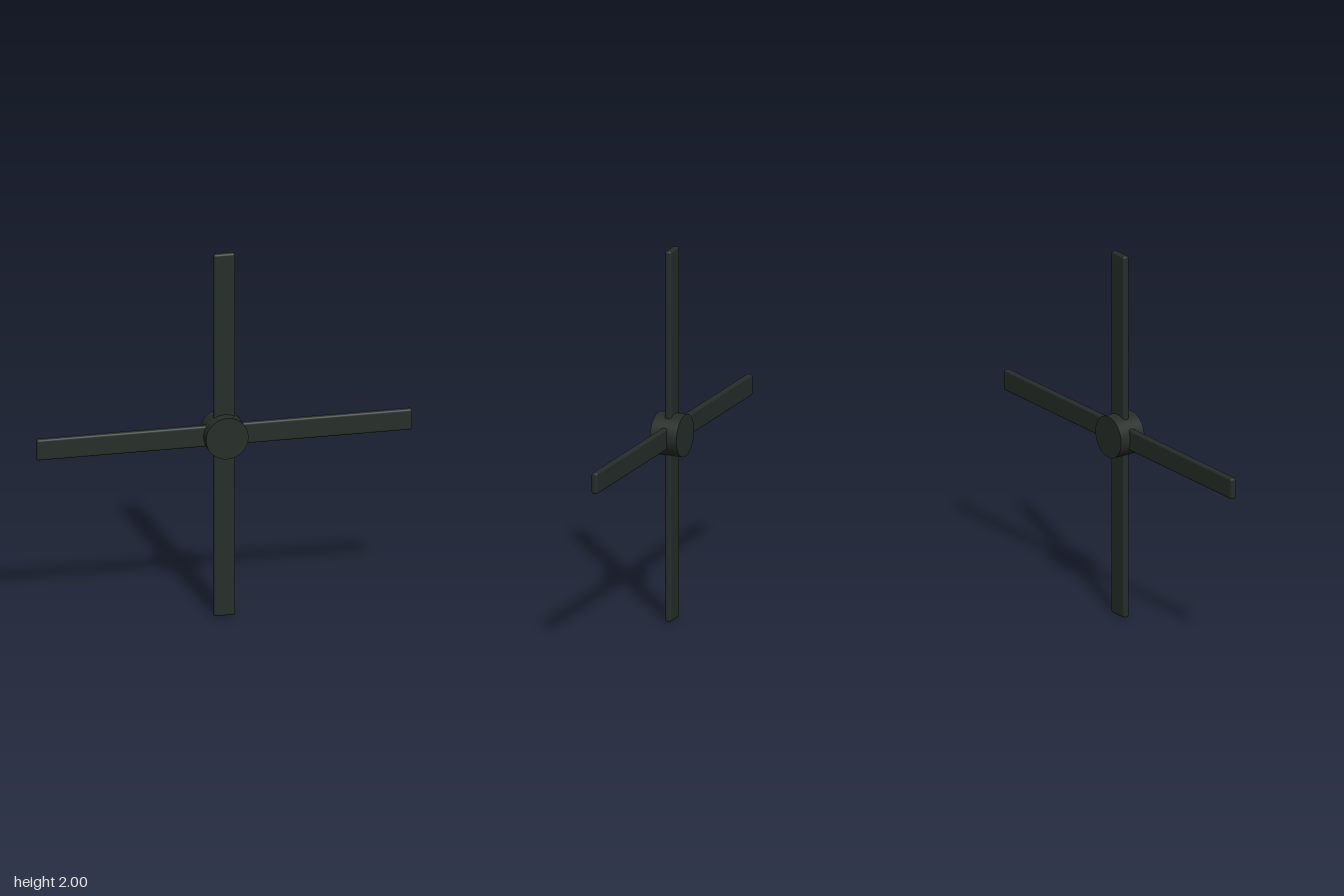
import * as THREE from 'three';
import { RoundedBoxGeometry } from 'three/addons/geometries/RoundedBoxGeometry.js';

const HUB_RADIUS = 0.113;
const HUB_DEPTH = 0.15;
const BLADE_WIDTH = 0.115;
const BLADE_THICKNESS = 0.035;
const BLADE_START = 0.05; // root is sunk into the hub

export function createModel() {
  const model = new THREE.Group();
  model.name = 'fourBladeRotor';
  const material = new THREE.MeshStandardMaterial({ color: 0x262d29 });

  // Hub: short drum with its axis along z
  const hubGeometry = new THREE.CylinderGeometry(HUB_RADIUS, HUB_RADIUS, HUB_DEPTH, 48);
  hubGeometry.rotateX(Math.PI / 2);
  const hub = new THREE.Mesh(hubGeometry, material);
  hub.name = 'hub';
  hub.position.y = 1;
  model.add(hub);

  // Blades: flat bars with softly rounded edges, a quarter turn apart
  const length = 1 - BLADE_START;
  const bladeGeometry = new RoundedBoxGeometry(length, BLADE_WIDTH, BLADE_THICKNESS, 4, 0.012);
  bladeGeometry.translate(BLADE_START + length / 2, 0, 0);
  ['leftBlade', 'topBlade', 'rightBlade', 'bottomBlade'].forEach((name, i) => {
    const blade = new THREE.Mesh(bladeGeometry, material);
    blade.name = name;
    blade.position.y = 1;
    blade.rotation.z = (i * Math.PI) / 2;
    model.add(blade);
  });

  return model;
}
